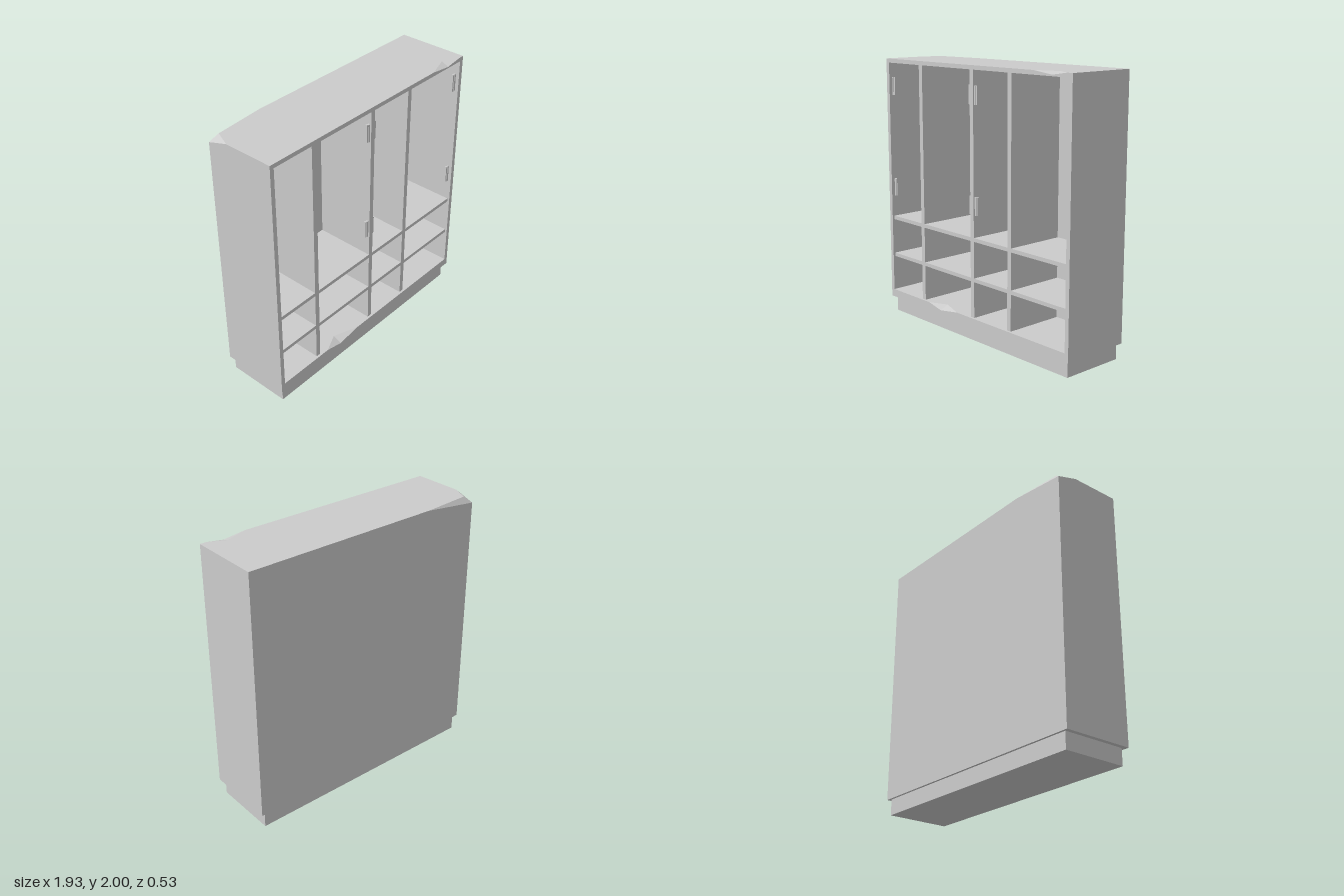
import * as THREE from 'three';

const X = 0.967, Z = 0.267, Y0 = 0.12, Y1 = 2;            // outer case
const IX = 0.935, IY0 = 0.18, IY1 = 1.97, IZ = -0.207;    // inner cavity
const INSET = 0.25;                                       // front of dividers and shelves

// Flat polygon (optional hole) facing the given normal, as triangle corners
function face(out, normal, pts, hole = []) {
  const n = new THREE.Vector3(...normal);
  const drop = normal.map(Math.abs).indexOf(Math.max(...normal.map(Math.abs)));
  const flat = list => list.map(p => new THREE.Vector2(...p.filter((_, i) => i !== drop)));
  const all = [...pts, ...hole];
  const tris = THREE.ShapeUtils.triangulateShape(flat(pts), hole.length ? [flat(hole)] : []);
  for (const t of tris) {
    const [a, b, c] = t.map(i => new THREE.Vector3(...all[i]));
    const up = b.clone().sub(a).cross(c.clone().sub(a)).dot(n) > 0;
    for (const v of up ? [a, b, c] : [a, c, b]) out.push(v.x, v.y, v.z);
  }
}

function caseGeometry() {
  const out = [];
  // worn back corner
  const low = [-X, 1.95, -Z], sideEnd = [-X, Y1, -0.105], inner = [-0.91, Y1, -0.235], backEnd = [-0.53, Y1, -Z];
  // chip in the top front edge
  const t0 = [0.62, Y1, Z], t1 = [0.92, Y1, Z], tLow = [0.79, 1.98, Z], tIn = [0.80, Y1, 0.205];
  // chip in the front lip of the floor
  const f0 = [-0.49, IY0, Z], f1 = [-0.16, IY0, Z], fLow = [-0.35, 0.15, Z], fIn = [-0.35, IY0, 0.2];

  // outside
  face(out, [0, 1, 0], [[-X, Y1, Z], t0, tIn, t1, [X, Y1, Z], [X, Y1, -Z], backEnd, inner, sideEnd]);
  face(out, [-1, 0, 0], [[-X, Y0, Z], [-X, Y1, Z], sideEnd, low, [-X, Y0, -Z]]);
  face(out, [1, 0, 0], [[X, Y0, Z], [X, Y1, Z], [X, Y1, -Z], [X, Y0, -Z]]);
  face(out, [0, 0, -1], [[-X, Y0, -Z], low, backEnd, [X, Y1, -Z], [X, Y0, -Z]]);
  face(out, [0, -1, 0], [[-X, Y0, Z], [X, Y0, Z], [X, Y0, -Z], [-X, Y0, -Z]]);
  // front frame around the opening
  face(out, [0, 0, 1],
    [[-X, Y0, Z], [X, Y0, Z], [X, Y1, Z], t1, tLow, t0, [-X, Y1, Z]],
    [[-IX, IY0, Z], f0, fLow, f1, [IX, IY0, Z], [IX, IY1, Z], [-IX, IY1, Z]]);
  // cavity
  for (const s of [-1, 1]) {
    face(out, [-s, 0, 0], [[s * IX, IY0, Z], [s * IX, IY1, Z], [s * IX, IY1, IZ], [s * IX, IY0, IZ]]);
  }
  face(out, [0, 0, 1], [[-IX, IY0, IZ], [IX, IY0, IZ], [IX, IY1, IZ], [-IX, IY1, IZ]]);
  face(out, [0, -1, 0], [[-IX, IY1, Z], [IX, IY1, Z], [IX, IY1, IZ], [-IX, IY1, IZ]]);
  face(out, [0, 1, 0], [[-IX, IY0, Z], f0, fIn, f1, [IX, IY0, Z], [IX, IY0, IZ], [-IX, IY0, IZ]]);
  // chip facets
  face(out, [-1, 2, 0], [sideEnd, inner, low]);
  face(out, [0, 2, -1], [inner, backEnd, low]);
  for (const [a, b, l, i] of [[t0, t1, tLow, tIn], [f0, f1, fLow, fIn]]) {
    face(out, [0, 2, 1], [a, l, i]);
    face(out, [0, 2, 1], [l, b, i]);
  }

  const geo = new THREE.BufferGeometry();
  geo.setAttribute('position', new THREE.Float32BufferAttribute(out, 3));
  geo.computeVertexNormals();
  return geo;
}

export function createModel() {
  const model = new THREE.Group();
  model.name = 'openCabinet';
  const material = new THREE.MeshStandardMaterial({ color: 0xcccccc, flatShading: true });

  const add = (name, geometry) => {
    const mesh = new THREE.Mesh(geometry, material);
    mesh.name = name;
    model.add(mesh);
    return mesh;
  };
  // Box given by its limits on each axis
  const block = (name, x0, x1, y0, y1, z0, z1) =>
    add(name, new THREE.BoxGeometry(x1 - x0, y1 - y0, z1 - z0))
      .position.set((x0 + x1) / 2, (y0 + y1) / 2, (z0 + z1) / 2);

  add('case', caseGeometry());
  block('plinth', -IX, IX, 0, Y0, -0.25, 0.237);

  // Upright dividers
  const dividers = [[-0.59, -0.553], [-0.02, 0.016], [0.366, 0.402]];
  for (const [a, b] of dividers) block('divider', a, b, IY0, IY1, IZ, INSET);

  // Two shelves in every bay
  const edges = [-IX, ...dividers.flat(), IX];
  for (let i = 0; i < edges.length; i += 2) {
    for (const y of [0.45, 0.75]) block('shelf', edges[i], edges[i + 1], y, y + 0.028, IZ, INSET);
  }

  // Hinges: a leaf on the upright with a narrow knuckle in front
  for (const [x, s] of [[-IX, 1], [-0.02, -1], [0.016, 1], [IX, -1]]) {
    for (const y of [0.94, 1.725]) {
      const span = (a, b) => [x + s * a, x + s * b].sort((p, q) => p - q);
      block('hingeLeaf', ...span(0, 0.015), y, y + 0.135, 0.225, 0.24);
      block('hingeKnuckle', ...span(0.015, 0.027), y, y + 0.135, 0.222, 0.236);
    }
  }
  return model;
}
